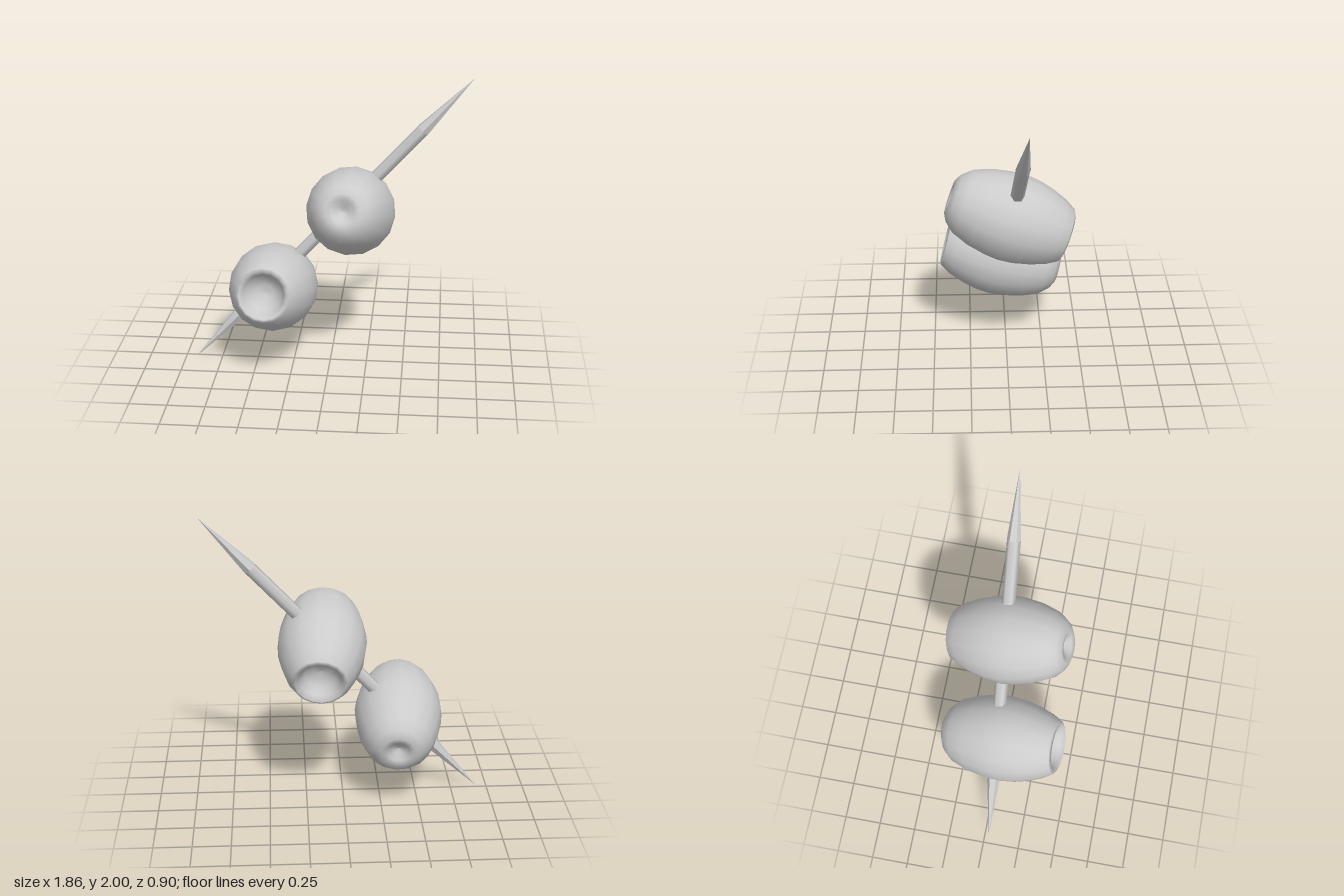
import * as THREE from 'three';

const UP = new THREE.Vector3(0, 1, 0);
const grey = new THREE.MeshStandardMaterial({ color: 0xcccccc });
const facetedGrey = new THREE.MeshStandardMaterial({ color: 0xcccccc, flatShading: true });

// Half profile [radius, height]: dimpled end, barrel body, rim, pitted hole
const oliveProfile = [
  [0, -0.36], [0.035, -0.37], [0.075, -0.405], [0.115, -0.412], [0.165, -0.385],
  [0.22, -0.32], [0.265, -0.2], [0.29, -0.07], [0.297, 0.02], [0.287, 0.12],
  [0.262, 0.22], [0.225, 0.32], [0.182, 0.392], [0.16, 0.403], [0.137, 0.37],
  [0.105, 0.315], [0.055, 0.285], [0, 0.277],
].map(([r, h]) => new THREE.Vector2(r, h));

// The hole end points along the given axis
function makeOlive(name, center, axis) {
  const olive = new THREE.Mesh(new THREE.LatheGeometry(oliveProfile, 16), grey);
  olive.name = name;
  olive.position.set(...center);
  olive.quaternion.setFromUnitVectors(UP, new THREE.Vector3(...axis).normalize());
  return olive;
}

// Straight pick with a long pointed tip at each end
function makePick(start, end) {
  const pick = new THREE.Group();
  pick.name = 'pick';
  const length = start.distanceTo(end);
  const tip = 0.48;
  const shaft = new THREE.Mesh(
    new THREE.CylinderGeometry(0.045, 0.045, length - 2 * tip, 6, 1, true), grey);
  shaft.name = 'shaft';
  pick.add(shaft);
  for (const side of [1, -1]) {
    const cone = new THREE.Mesh(new THREE.ConeGeometry(0.047, tip, 6), facetedGrey);
    cone.name = side > 0 ? 'upperTip' : 'lowerTip';
    cone.position.y = side * (length - tip) / 2;
    if (side < 0) cone.rotation.x = Math.PI;
    pick.add(cone);
  }
  pick.position.copy(start).add(end).multiplyScalar(0.5);
  pick.quaternion.setFromUnitVectors(UP, end.clone().sub(start).normalize());
  return pick;
}

export function createModel() {
  const model = new THREE.Group();
  model.name = 'olivesOnPick';
  model.add(
    makePick(new THREE.Vector3(-0.93, 0.005, 0.025), new THREE.Vector3(0.925, 2, -0.105)),
    makeOlive('lowerOlive', [-0.38, 0.555, 0.025], [-0.07, 0.24, 0.97]),
    makeOlive('upperOlive', [0.135, 1.1, -0.015], [0.07, -0.33, -0.94]),
  );
  return model;
}
